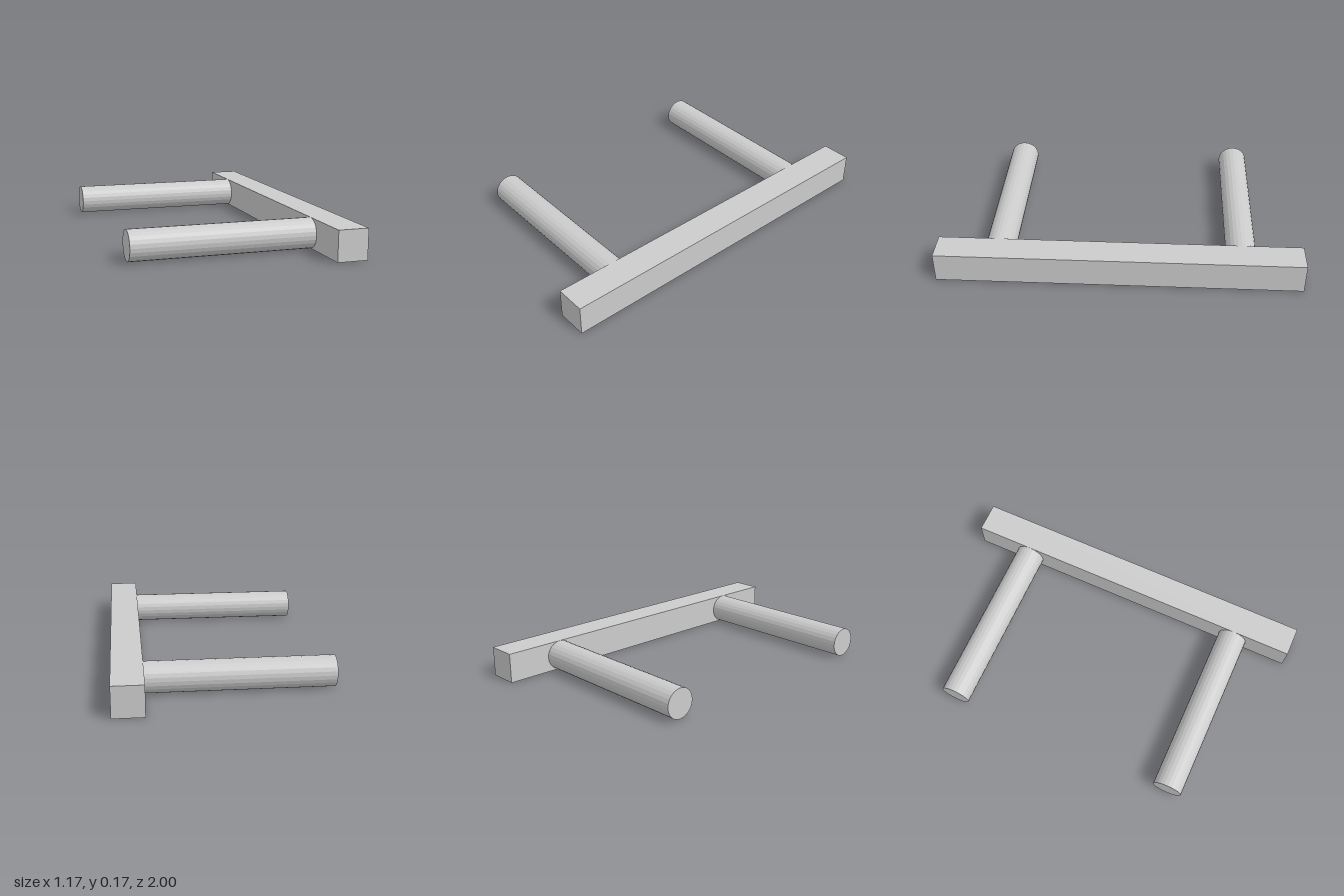
import * as THREE from 'three';

const THICK = 1 / 6; // bar side and peg diameter
const PEG_LENGTH = 1;
const HALF_WIDTH = (PEG_LENGTH + THICK) / 2;

export function createModel() {
  const group = new THREE.Group();
  const material = new THREE.MeshStandardMaterial({ color: 0xcccccc, flatShading: true });

  // Square bar running front to back
  const bar = new THREE.Mesh(new THREE.BoxGeometry(THICK, THICK, 2), material);
  bar.name = 'bar';
  bar.position.set(HALF_WIDTH - THICK / 2, THICK / 2, 0);
  group.add(bar);

  // Two round pegs butting against the bar's inner side
  const pegGeometry = new THREE.CylinderGeometry(THICK / 2, THICK / 2, PEG_LENGTH, 24);
  pegGeometry.rotateZ(Math.PI / 2);
  for (const [name, side] of [['frontPeg', 1], ['backPeg', -1]]) {
    const peg = new THREE.Mesh(pegGeometry, material);
    peg.name = name;
    peg.position.set(-HALF_WIDTH + PEG_LENGTH / 2, THICK / 2, side * 2 / 3);
    group.add(peg);
  }
  return group;
}
